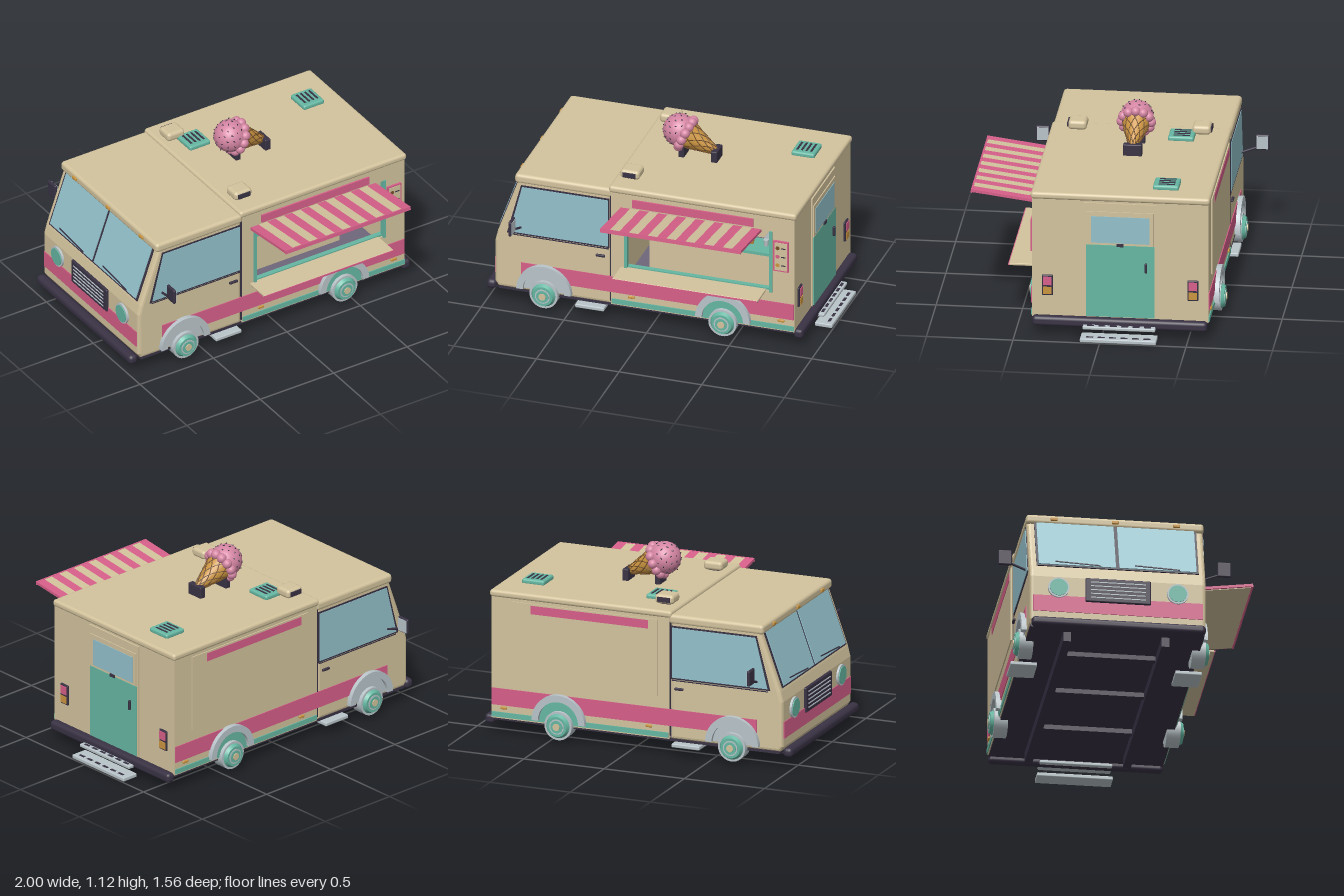
import * as THREE from 'three';
import { RoundedBoxGeometry } from 'three/addons/geometries/RoundedBoxGeometry.js';

const mat = (name, color) => {
  const m = new THREE.MeshStandardMaterial({ color });
  m.name = name;
  return m;
};

export function createModel() {
  const cream = mat('cream', 0xd3c39d), pink = mat('pink', 0xd75f89), teal = mat('teal', 0x66b7a2);
  const dark = mat('dark', 0x393244), glass = mat('glass', 0x93c1cb), silver = mat('silver', 0xb9c4c9);
  const gold = mat('gold', 0xcb9540), brown = mat('brown', 0x75502b);
  const scoopPink = mat('scoopPink', 0xd485a2), floorGrey = mat('floorGrey', 0x6e667a);

  const model = new THREE.Group();
  model.name = 'iceCreamTruck';
  const truck = new THREE.Group();
  truck.name = 'truck';
  truck.position.z = -0.105; // the awning overhang shifts the body off centre
  model.add(truck);

  const add = (name, geo, m, x = 0, y = 0, z = 0, parent = truck) => {
    const mesh = new THREE.Mesh(geo, m);
    mesh.name = name;
    mesh.position.set(x, y, z);
    parent.add(mesh);
    return mesh;
  };
  // box given by its limits, optionally rounded
  const box = (name, m, x0, x1, y0, y1, z0, z1, r = 0, parent = truck) => {
    const s = [x1 - x0, y1 - y0, z1 - z0];
    const geo = r ? new RoundedBoxGeometry(...s, 3, r) : new THREE.BoxGeometry(...s);
    return add(name, geo, m, (x0 + x1) / 2, (y0 + y1) / 2, (z0 + z1) / 2, parent);
  };
  // box on one side, z limits measured outward
  const sideBox = (name, m, s, x0, x1, y0, y1, d0, d1, r = 0) =>
    box(name, m, x0, x1, y0, y1, Math.min(s * d0, s * d1), Math.max(s * d0, s * d1), r);
  const shapeOf = pts => new THREE.Shape(pts.map(p => new THREE.Vector2(...p)));
  const slab = (shape, depth) => new THREE.ExtrudeGeometry(shape, { depth, bevelEnabled: false, curveSegments: 24 });
  // flat plate laid on a side from d outward
  const plate = (name, m, shape, s, d, t = 0.005) => add(name, slab(shape, t), m, 0, 0, s > 0 ? d : -d - t);
  // cylinder along z (axis 'z') or x (axis 'x')
  const disc = (name, m, r0, r1, len, axis, x, y, z, parent = truck) => {
    const geo = new THREE.CylinderGeometry(r1, r0, len, 32);
    if (axis === 'z') geo.rotateX(Math.PI / 2); else geo.rotateZ(Math.PI / 2);
    return add(name, geo, m, x, y, z, parent);
  };

  // cab
  const cabShape = shapeOf([[-0.93, 0.1], [-0.25, 0.1], [-0.25, 0.835], [-0.80, 0.835], [-0.935, 0.46], [-0.95, 0.4], [-0.95, 0.13]]);
  add('cab', new THREE.ExtrudeGeometry(cabShape, {
    depth: 0.98, bevelEnabled: true, bevelSize: 0.02, bevelOffset: -0.02, bevelThickness: 0.02, bevelSegments: 3,
  }), cream, 0, 0, -0.49);
  box('cabRoof', cream, -0.83, -0.24, 0.79, 0.848, -0.515, 0.515, 0.02);
  for (const z of [-0.355, 0, 0.355]) box('roofMarker', gold, -0.84, -0.825, 0.81, 0.83, z - 0.02, z + 0.02, 0.005);

  // windscreen, lying on the sloping front face
  const screen = new THREE.Group();
  screen.name = 'windscreen';
  screen.position.set(-0.868, 0.648, 0);
  screen.rotation.z = -Math.atan2(0.135, 0.375);
  truck.add(screen);
  box('windscreenSeal', dark, -0.006, 0.004, -0.185, 0.165, -0.47, 0.47, 0, screen);
  for (const s of [-1, 1]) {
    box('windscreenPane', glass, -0.011, -0.002, -0.175, 0.155, s > 0 ? 0.01 : -0.457, s > 0 ? 0.457 : -0.01, 0, screen);
    const wiper = box('wiper', dark, -0.015, -0.01, -0.165, -0.158, s * 0.23 - 0.13, s * 0.23 + 0.13, 0, screen);
    wiper.rotation.x = 0.06;
  }

  // nose: stripe, grille and headlights
  box('frontStripe', pink, -0.955, -0.947, 0.18, 0.28, -0.492, 0.492);
  box('grille', dark, -0.965, -0.94, 0.25, 0.4, -0.19, 0.19, 0.008);
  for (let i = 0; i < 5; i++) box('grilleSlat', silver, -0.969, -0.962, 0.274 + i * 0.024, 0.28 + i * 0.024, -0.16, 0.16);
  for (const s of [-1, 1]) {
    disc('headlightRing', silver, 0.062, 0.062, 0.02, 'x', -0.953, 0.33, s * 0.345);
    disc('headlight', teal, 0.052, 0.052, 0.012, 'x', -0.962, 0.33, s * 0.345);
  }

  // hollow service body
  const wall = shapeOf([[-0.245, 0.1], [0.863, 0.1], [0.863, 0.84], [-0.245, 0.84]]);
  wall.holes.push(new THREE.Path([[-0.16, 0.345], [-0.16, 0.73], [0.72, 0.73], [0.72, 0.345]].map(p => new THREE.Vector2(...p))));
  add('serviceWall', slab(wall, 0.02), cream, 0, 0, 0.49);
  box('plainWall', cream, -0.245, 0.863, 0.1, 0.84, -0.51, -0.49);
  box('rearWall', cream, 0.843, 0.863, 0.1, 0.84, -0.49, 0.49);
  box('bodyRoof', cream, -0.26, 0.875, 0.825, 0.867, -0.518, 0.518, 0.017);
  box('insideFloor', floorGrey, -0.25, 0.845, 0.105, 0.125, -0.49, 0.49);
  box('plainSidePanel', cream, -0.17, 0.73, 0.35, 0.81, -0.517, -0.509);

  // parts shared by both sides
  const archRing = (r0, r1) => {
    const s = new THREE.Shape();
    s.absarc(0, 0, r1, 0, Math.PI, false);
    s.absarc(0, 0, r0, Math.PI, 0, true);
    return s;
  };
  const half = new THREE.Shape();
  half.absarc(0, 0, 0.15, 0, Math.PI, false);
  for (const s of [-1, 1]) {
    sideBox('sideStripe', pink, s, -0.79, 0.86, 0.18, 0.28, 0.505, 0.515);
    sideBox('sill', teal, s, -0.24, 0.862, 0.108, 0.138, 0.505, 0.516);
    sideBox('topBand', pink, s, -0.115, 0.617, 0.75, 0.8, 0.509, 0.52);
    sideBox('cabSeam', dark, s, -0.252, -0.245, 0.12, 0.8, 0.5, 0.511);
    sideBox('doorLine', dark, s, -0.86, -0.26, 0.452, 0.458, 0.505, 0.512);
    sideBox('doorHandle', dark, s, -0.335, -0.28, 0.4, 0.415, 0.51, 0.525, 0.005);
    for (const x of [-0.12, 0.785]) sideBox('sideMarker', gold, s, x - 0.02, x + 0.02, 0.158, 0.174, 0.51, 0.522, 0.005);
    plate('sideWindowSeal', dark, shapeOf([[-0.875, 0.462], [-0.255, 0.462], [-0.255, 0.782], [-0.79, 0.782]]), s, 0.508);
    plate('sideWindow', glass, shapeOf([[-0.858, 0.472], [-0.263, 0.472], [-0.263, 0.772], [-0.783, 0.772]]), s, 0.511);

    // wheels and arches
    for (const x of [-0.645, 0.437]) {
      plate('archPanel', x < 0 ? silver : teal, half, s, 0.512).position.set(x, 0.122, s > 0 ? 0.513 : -0.518);
      plate('archFender', silver, archRing(0.125, 0.165), s, 0.51, 0.03).position.set(x, 0.122, s > 0 ? 0.51 : -0.54);
      disc('tyre', silver, 0.085, 0.085, 0.08, 'z', x, 0.105, s * 0.5);
      disc('wheelRim', teal, s > 0 ? 0.072 : 0.06, s > 0 ? 0.06 : 0.072, 0.02, 'z', x, 0.105, s * 0.55);
      disc('hubRing', silver, 0.045, 0.045, 0.006, 'z', x, 0.105, s * 0.559);
      disc('hubDisc', teal, 0.037, 0.037, 0.008, 'z', x, 0.105, s * 0.561);
      disc('hubCap', cream, 0.021, 0.021, 0.02, 'z', x, 0.105, s * 0.56);
    }

    // mirror
    sideBox('mirrorShell', dark, s, -0.815, -0.796, 0.525, 0.618, 0.595, 0.675, 0.008);
    sideBox('mirrorGlass', silver, s, -0.797, -0.793, 0.533, 0.61, 0.602, 0.668);
    const arm = new THREE.LineCurve3(new THREE.Vector3(-0.79, 0.505, s * 0.505), new THREE.Vector3(-0.805, 0.54, s * 0.61));
    add('mirrorArm', new THREE.TubeGeometry(arm, 1, 0.007, 8), dark);

    sideBox('cabStep', silver, s, -0.45, -0.275, 0.065, 0.088, 0.4, 0.555, 0.006);
    box('chassisRail', dark, -0.88, 0.785, 0.03, 0.09, s * 0.285 - 0.023, s * 0.285 + 0.023);

    // tail lights
    sideBox('tailLightFrame', dark, s, 0.86, 0.874, 0.235, 0.36, 0.388, 0.452, 0.006);
    sideBox('tailLamp', pink, s, 0.87, 0.879, 0.3, 0.35, 0.396, 0.444);
    sideBox('turnLamp', gold, s, 0.87, 0.879, 0.245, 0.288, 0.396, 0.444);

    // roof speakers
    sideBox('roofSpeaker', cream, s, -0.227, -0.11, 0.872, 0.926, 0.305, 0.412, 0.02);
    sideBox('speakerFoot', dark, s, -0.2, -0.14, 0.862, 0.88, 0.33, 0.39);
    sideBox('speakerGrille', dark, s, -0.208, -0.13, 0.885, 0.913, 0.41, 0.418);
  }

  // underside and bumpers
  box('underFloor', dark, -0.93, 0.865, 0.088, 0.104, -0.505, 0.505);
  for (const x of [-0.6, -0.1, 0.4]) box('crossMember', dark, x - 0.02, x + 0.02, 0.06, 0.09, -0.285, 0.285);
  box('frontBumper', dark, -1.004, -0.946, 0.07, 0.128, -0.505, 0.505, 0.024);
  box('rearBumper', dark, 0.855, 0.91, 0.057, 0.115, -0.505, 0.505, 0.02);

  // rear door and folding steps
  box('doorFrame', cream, 0.86, 0.872, 0.12, 0.815, -0.21, 0.21);
  box('rearDoor', teal, 0.865, 0.878, 0.12, 0.56, -0.2, 0.195);
  box('rearWindowSeal', cream, 0.868, 0.878, 0.562, 0.765, -0.195, 0.195);
  box('rearWindow', glass, 0.874, 0.881, 0.575, 0.737, -0.17, 0.167);
  box('windowLatch', dark, 0.876, 0.886, 0.555, 0.572, -0.02, 0.02);
  box('rearDoorHandle', dark, 0.876, 0.892, 0.4, 0.46, -0.157, -0.143, 0.005);
  box('upperStep', silver, 0.84, 0.945, 0.06, 0.08, -0.21, 0.21, 0.006);
  box('lowerStep', silver, 0.89, 0.995, 0, 0.024, -0.22, 0.22, 0.006);
  for (let i = 0; i < 6; i++) {
    const z = -0.165 + i * 0.066;
    for (const [x, y] of [[0.965, 0.025], [0.925, 0.081]]) box('stepTread', dark, x - 0.008, x + 0.008, y - 0.003, y + 0.001, z - 0.02, z + 0.02);
  }

  // serving hatch: frame, shelf and awning
  for (const x of [-0.157, 0.722]) box('hatchPost', teal, x - 0.009, x + 0.009, 0.34, 0.735, 0.485, 0.518);
  box('hatchSill', teal, -0.157, 0.722, 0.345, 0.357, 0.47, 0.5);
  box('shelf', cream, -0.19, 0.69, 0.338, 0.352, 0.5, 0.663, 0.004);
  box('shelfEdge', pink, -0.19, 0.69, 0.34, 0.35, 0.66, 0.667);
  const awning = new THREE.Group();
  awning.name = 'awning';
  awning.position.set(-0.188, 0.727, 0.505);
  awning.rotation.x = -Math.atan2(0.05, 0.38);
  truck.add(awning);
  const w = 0.852 / 15;
  for (let i = 0; i < 15; i++) box('awningStripe', i % 2 ? cream : pink, i * w, (i + 1) * w, -0.006, 0.01, 0, 0.38, 0, awning);
  box('awningLining', cream, 0.012, 0.84, -0.01, -0.005, 0.01, 0.372, 0, awning);
  box('awningEdge', pink, 0, 0.852, -0.011, 0.011, 0.375, 0.385, 0, awning);

  // menu board
  box('menuFrame', pink, 0.738, 0.832, 0.488, 0.683, 0.508, 0.522);
  box('menuCard', cream, 0.747, 0.823, 0.497, 0.674, 0.52, 0.526);
  [0.53, 0.585, 0.64].forEach((y, i) => {
    disc('menuPicture', [gold, pink, brown][i], 0.012, 0.012, 0.004, 'z', 0.767, y, 0.526);
    box('menuLine', dark, 0.787, 0.815, y - 0.003, y + 0.003, 0.524, 0.528);
  });

  // inside counter with drinks machine and ice creams
  box('counter', cream, -0.14, 0.66, 0.125, 0.36, -0.02, 0.13);
  box('counterTop', teal, 0.04, 0.63, 0.36, 0.378, -0.03, 0.14);
  box('drinksMachine', dark, -0.15, -0.09, 0.36, 0.51, 0.01, 0.11, 0.015);
  disc('dish', silver, 0.02, 0.02, 0.04, 'z', 0.04, 0.4, 0.05);
  [[0.14, []], [0.245, [scoopPink]], [0.35, [scoopPink, cream]], [0.455, [scoopPink, cream, dark]]].forEach(([x, balls]) => {
    add('smallCone', new THREE.CylinderGeometry(0.02, 0.009, 0.05, 16), gold, x, 0.403, 0.05);
    balls.forEach((m, i) => add('smallScoop', new THREE.SphereGeometry(0.024, 16, 12), m, x, 0.44 + i * 0.032, 0.05));
  });
  for (const x of [0.54, 0.6]) add('cup', new THREE.CylinderGeometry(0.016, 0.012, 0.04, 16), silver, x, 0.397, 0.05);

  // roof vents
  for (const x of [-0.09, 0.685]) {
    box('roofVent', teal, x - 0.07, x + 0.07, 0.86, 0.892, -0.325, -0.175, 0.012);
    for (let i = 0; i < 4; i++) {
      const vx = x - 0.042 + i * 0.028;
      box('ventSlot', dark, vx - 0.006, vx + 0.006, 0.888, 0.894, -0.3, -0.205);
    }
  }

  // giant ice cream lying on two cradles
  box('frontCradle', dark, 0.008, 0.042, 0.86, 0.945, -0.05, 0.05, 0.006);
  box('rearCradle', dark, 0.205, 0.243, 0.86, 0.935, -0.054, 0.054, 0.006);
  const cone = new THREE.Group();
  cone.name = 'giantIceCream';
  cone.position.set(0, 1.017, 0);
  cone.rotation.z = -2.008;
  truck.add(cone);
  add('scoop', new THREE.SphereGeometry(0.096, 32, 24), scoopPink, 0, 0, 0, cone);
  add('waffleCone', new THREE.CylinderGeometry(0.018, 0.086, 0.21, 32), gold, 0, 0.145, 0, cone);
  for (let i = 0; i < 12; i++) {
    const a = i * Math.PI / 6;
    add('scoopRuffle', new THREE.SphereGeometry(0.029, 16, 12), scoopPink, Math.cos(a) * 0.086, 0.042, Math.sin(a) * 0.086, cone);
  }
  for (const s of [-1, 1]) for (let i = 0; i < 9; i++) {
    const pts = [];
    for (let k = 0; k <= 10; k++) {
      const t = k / 10, r = 0.087 - 0.068 * t, a = i * Math.PI * 2 / 9 + s * t * 1.9;
      pts.push(new THREE.Vector3(Math.cos(a) * r, 0.04 + 0.21 * t, Math.sin(a) * r));
    }
    add('waffleLine', new THREE.TubeGeometry(new THREE.CatmullRomCurve3(pts), 16, 0.0028, 5), brown, 0, 0, 0, cone);
  }
  for (let i = 0; i < 46; i++) {
    const y = 0.1 - 1.08 * (i + 0.5) / 46, a = i * 2.39996, r = Math.sqrt(1 - y * y);
    const sprinkle = add('sprinkle', new THREE.CapsuleGeometry(0.0032, 0.01, 2, 6), dark,
      Math.cos(a) * r * 0.096, y * 0.096, Math.sin(a) * r * 0.096, cone);
    sprinkle.rotation.set(i * 1.3, i * 2.1, i * 0.7);
  }
  return model;
}
